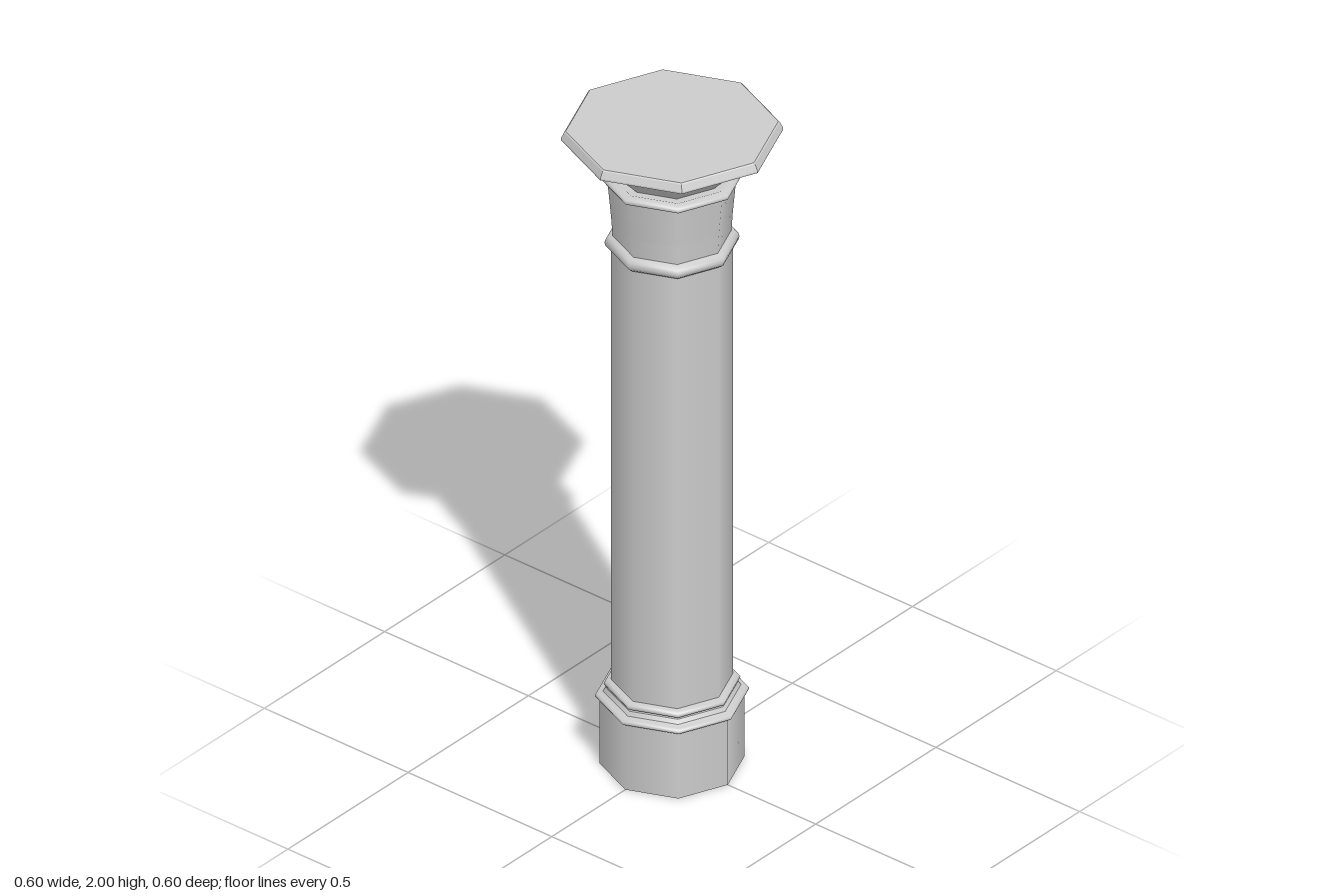
import * as THREE from 'three';
import { mergeGeometries } from 'three/addons/utils/BufferGeometryUtils.js';

const SIDES = 8;
const material = new THREE.MeshStandardMaterial({ color: 0xcccccc, side: THREE.DoubleSide });
const facetedMaterial = new THREE.MeshStandardMaterial({ color: 0xcccccc, side: THREE.DoubleSide, flatShading: true });

// Octagonal band set: smooth around the column, crisp between profile steps.
// The profile runs upward as [radius, y] pairs.
function bands(name, profile, mat = material) {
  const pieces = [];
  for (let i = 0; i < profile.length - 1; i++) {
    const pair = [profile[i], profile[i + 1]].map(([r, y]) => new THREE.Vector2(r, y));
    pieces.push(new THREE.LatheGeometry(pair, SIDES));
  }
  const mesh = new THREE.Mesh(mergeGeometries(pieces), mat);
  mesh.name = name;
  return mesh;
}

// Half-round moulding wrapped around the shaft.
function bead(name, inner, outer, bottom, top) {
  const points = [];
  for (let i = 0; i <= 6; i++) {
    const a = -Math.PI / 2 + (Math.PI * i) / 6;
    points.push(new THREE.Vector2(
      inner + (outer - inner) * Math.cos(a),
      (bottom + top) / 2 + ((top - bottom) / 2) * Math.sin(a)
    ));
  }
  const mesh = new THREE.Mesh(new THREE.LatheGeometry(points, SIDES), material);
  mesh.name = name;
  return mesh;
}

export function createModel() {
  const column = new THREE.Group();
  column.name = 'column';

  // Hollow plinth with an open underside
  column.add(bands('base', [[0.163, 0], [0.194, 0], [0.194, 0.207]]));
  column.add(bead('baseMoulding', 0.19, 0.207, 0.205, 0.225));
  column.add(bands('baseStep', [[0.195, 0.224], [0.185, 0.228], [0.178, 0.24], [0.163, 0.243]]));
  column.add(bead('lowerBead', 0.163, 0.183, 0.24, 0.264));

  // Shaft and its flared neck
  column.add(bands('shaft', [[0.163, 0], [0.163, 1.64]]));
  column.add(bead('upperBead', 0.158, 0.181, 1.622, 1.664));
  column.add(bands('neck', [[0.158, 1.64], [0.163, 1.72], [0.174, 1.845]]));
  column.add(bead('neckRing', 0.172, 0.196, 1.84, 1.864));
  column.add(bands('neckTop', [[0.175, 1.862], [0.14, 1.862]]));

  // Spreading capital with a chamfered slab on top
  column.add(bands('capital', [[0.146, 1.862], [0.197, 1.915], [0.298, 1.973]], facetedMaterial));
  column.add(bands('topSlab', [[0.298, 1.973], [0.298, 1.978], [0.289, 1.997], [0.285, 2], [0, 2]], facetedMaterial));

  return column;
}
